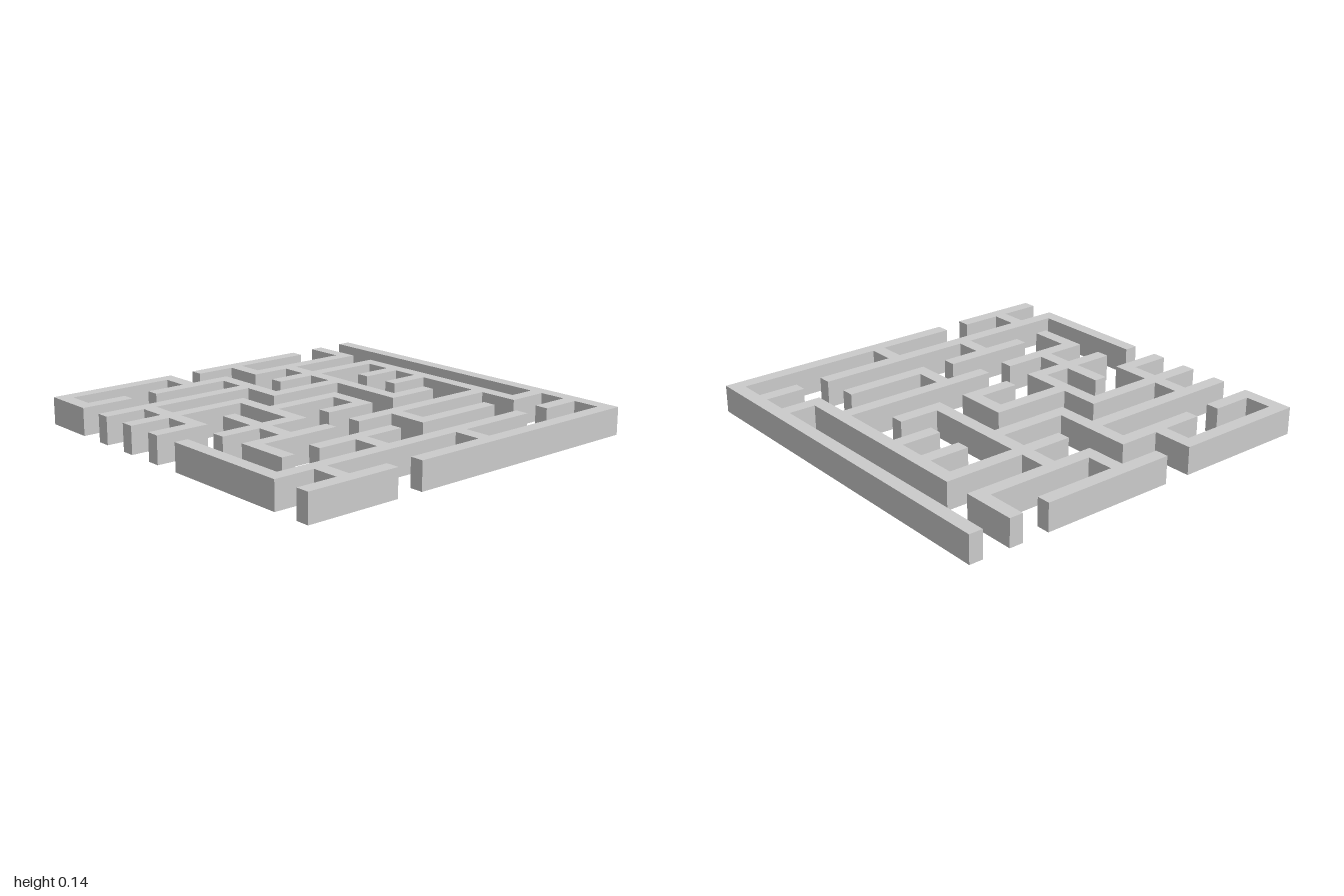
import * as THREE from 'three';

// The maze sits on a 28 x 28 grid of small cells; wall lines lie three cells apart.
const N = 28, UNIT = 2 / N, PITCH = 3, HEIGHT = 2 * UNIT;

// Wall runs per line, as [first node, last node] pairs (nodes 0 to 9).
const ROWS = [ // along x, from back to front
  [[0, 9]],
  [[0, 1], [2, 7]],
  [],
  [[1, 5]],
  [[0, 1], [4, 5], [6, 7], [8, 9]],
  [[1, 3]],
  [[0, 1], [3, 5], [7, 8]],
  [[4, 6]],
  [[2, 4], [6, 7], [8, 9]],
  [[0, 1], [5, 8]],
];
const COLUMNS = [ // along z, from -x to +x
  [[2, 5], [6, 9]],
  [[1, 4], [5, 7], [8, 9]],
  [[1, 4], [5, 9]],
  [[1, 2], [3, 5], [6, 9]],
  [[1, 2], [4, 6], [8, 9]],
  [[2, 3], [4, 5], [6, 8]],
  [[1, 5], [6, 8]],
  [[0, 1], [2, 4], [5, 7]],
  [[0, 1], [2, 9]],
  [[0, 6], [7, 9]],
];

// Set of filled cells, so that crossing walls join into one solid
function fillCells() {
  const filled = new Set();
  const run = (lines, add) => lines.forEach((runs, line) => {
    for (const [a, b] of runs) {
      for (let k = a * PITCH; k <= b * PITCH; k++) add(k, line * PITCH);
    }
  });
  run(ROWS, (k, line) => filled.add(k + line * N));
  run(COLUMNS, (k, line) => filled.add(line + k * N));
  return filled;
}

// Closed surface: every cell gets a top and bottom, and a side where it has no neighbour
function wallGeometry() {
  const filled = fillCells();
  const isFilled = (i, j) => i >= 0 && j >= 0 && i < N && j < N && filled.has(i + j * N);
  const half = new THREE.Vector3(UNIT / 2, HEIGHT / 2, UNIT / 2);
  const positions = [], normals = [], index = [];

  const addFace = (center, n) => {
    const v = n.y ? new THREE.Vector3(1, 0, 0) : new THREE.Vector3(0, 1, 0);
    const u = new THREE.Vector3().crossVectors(v, n);
    const first = positions.length / 3;
    for (const [a, b] of [[-1, -1], [1, -1], [1, 1], [-1, 1]]) {
      const p = n.clone().addScaledVector(u, a).addScaledVector(v, b).multiply(half).add(center);
      positions.push(p.x, p.y, p.z);
      normals.push(n.x, n.y, n.z);
    }
    index.push(first, first + 1, first + 2, first, first + 2, first + 3);
  };

  for (const cell of filled) {
    const i = cell % N, j = Math.floor(cell / N);
    const center = new THREE.Vector3(-1 + (i + 0.5) * UNIT, HEIGHT / 2, -1 + (j + 0.5) * UNIT);
    addFace(center, new THREE.Vector3(0, 1, 0));
    addFace(center, new THREE.Vector3(0, -1, 0));
    for (const [dx, dz] of [[1, 0], [-1, 0], [0, 1], [0, -1]]) {
      if (!isFilled(i + dx, j + dz)) addFace(center, new THREE.Vector3(dx, 0, dz));
    }
  }

  const geometry = new THREE.BufferGeometry();
  geometry.setAttribute('position', new THREE.Float32BufferAttribute(positions, 3));
  geometry.setAttribute('normal', new THREE.Float32BufferAttribute(normals, 3));
  geometry.setIndex(index);
  return geometry;
}

export function createModel() {
  const group = new THREE.Group();
  group.name = 'maze';
  const material = new THREE.MeshStandardMaterial({ color: 0xcccccc, flatShading: true });
  const walls = new THREE.Mesh(wallGeometry(), material);
  walls.name = 'mazeWalls';
  group.add(walls);
  return group;
}
